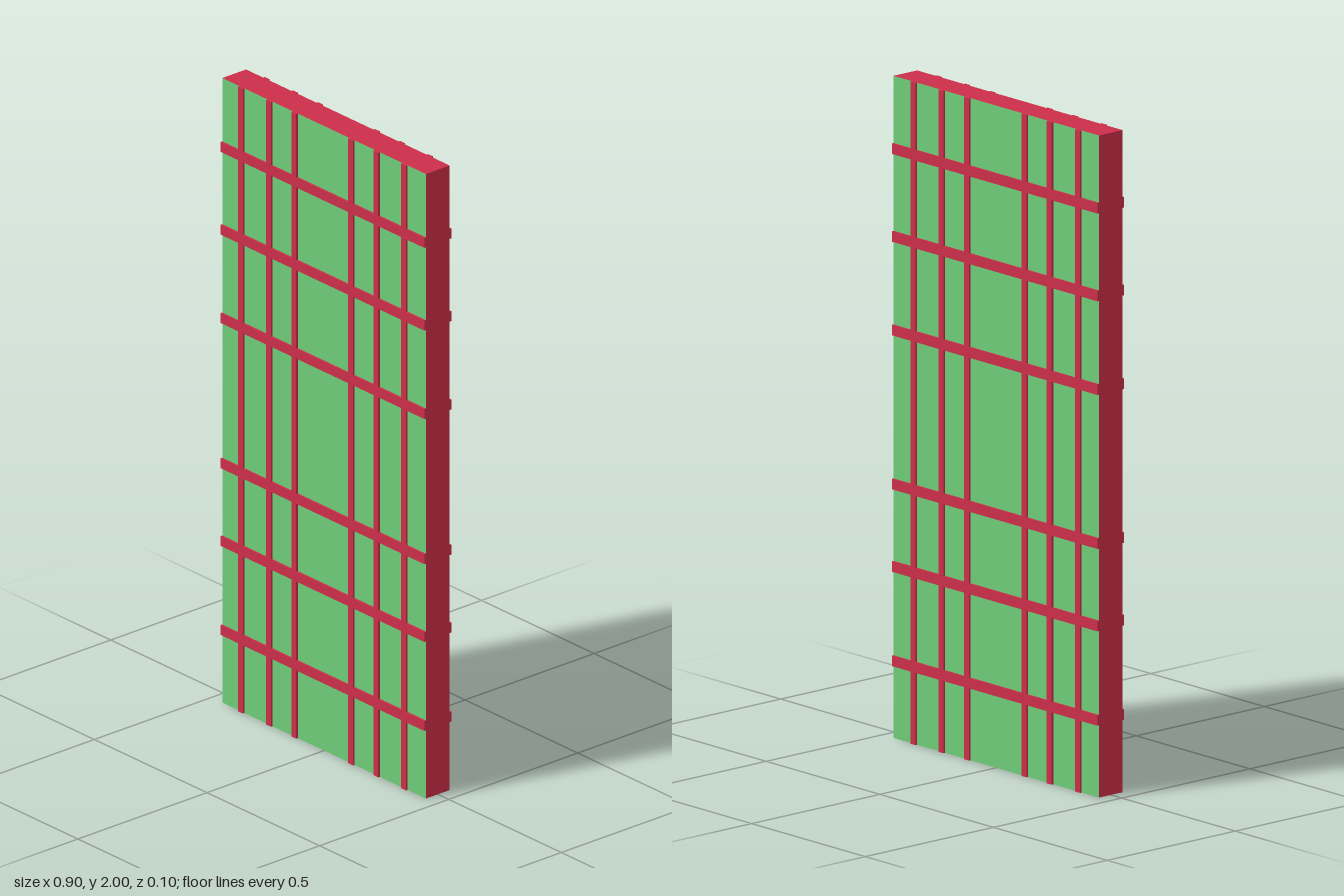
import * as THREE from 'three';

const W = 0.904, H = 2, FACE = 0.046, RAISE = 0.006;

export function createModel() {
  const model = new THREE.Group();
  model.name = 'latticePanel';
  const red = new THREE.MeshStandardMaterial({ color: 0xcc2f49 });
  const green = new THREE.MeshStandardMaterial({ color: 0x6ecd79 });

  // Slab: red edges, green front and back
  const slab = new THREE.Mesh(
    new THREE.BoxGeometry(W, H, FACE * 2),
    [red, red, red, red, green, green]
  );
  slab.name = 'slab';
  slab.position.y = H / 2;
  model.add(slab);

  const addBar = (parent, name, w, h, x, y, z) => {
    const bar = new THREE.Mesh(new THREE.BoxGeometry(w, h, RAISE), red);
    bar.name = name;
    bar.position.set(x, y, z);
    parent.add(bar);
  };

  // Raised lattice on both faces
  for (const side of [1, -1]) {
    const lattice = new THREE.Group();
    lattice.name = side > 0 ? 'frontLattice' : 'backLattice';
    const z = side * (FACE + RAISE / 2);
    for (const x of [-0.365, -0.24, -0.128, 0.124, 0.236, 0.36])
      addBar(lattice, 'verticalBar', 0.022, H, x, H / 2, z);
    for (const y of [0.234, 0.519, 0.768, 1.233, 1.516, 1.781])
      addBar(lattice, 'horizontalBar', W, 0.032, 0, y, z);
    model.add(lattice);
  }
  return model;
}
